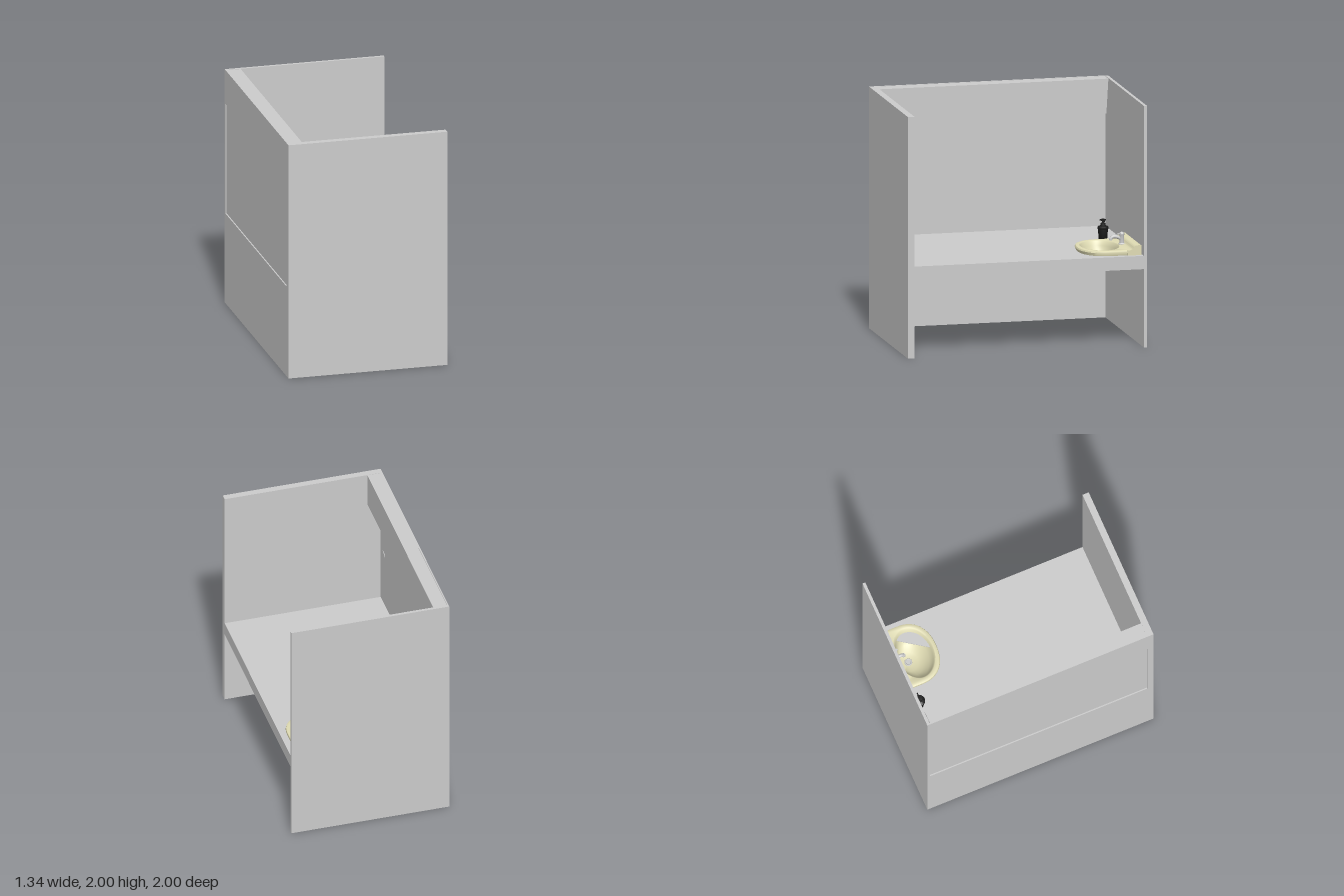
import * as THREE from 'three';
import { toCreasedNormals } from 'three/addons/utils/BufferGeometryUtils.js';

const grey = new THREE.MeshStandardMaterial({ color: 0xcccccc });
const greyThin = new THREE.MeshStandardMaterial({ color: 0xcccccc, side: THREE.DoubleSide });
const cream = new THREE.MeshStandardMaterial({ color: 0xe0dcb4, side: THREE.DoubleSide });
const black = new THREE.MeshStandardMaterial({ color: 0x1c1c1c });

function add(parent, name, geometry, material = grey) {
  const mesh = new THREE.Mesh(geometry, material);
  mesh.name = name;
  parent.add(mesh);
  return mesh;
}

// Box given by its limits on each axis
function box(parent, name, [x0, x1], [y0, y1], [z0, z1], material) {
  const mesh = add(parent, name, new THREE.BoxGeometry(x1 - x0, y1 - y0, z1 - z0), material);
  mesh.position.set((x0 + x1) / 2, (y0 + y1) / 2, (z0 + z1) / 2);
  return mesh;
}

const polygon = pts => new THREE.Shape(pts.map(p => new THREE.Vector2(...p)));
const extrude = (shape, depth) => new THREE.ExtrudeGeometry(shape, { depth, bevelEnabled: false });
const lathe = (pts, n = 32) =>
  toCreasedNormals(new THREE.LatheGeometry(pts.map(p => new THREE.Vector2(...p)), n), 0.6);

// Closed rings joined in order. Ring: [y, cz, rx, rzBack, rzFront, backPower, frontPower]
function loft(cx, rings, n = 64) {
  const pos = [], index = [];
  const signedPow = (v, e) => Math.sign(v) * Math.abs(v) ** e;
  rings.forEach(([y, cz, rx, rzBack, rzFront, pb = 2, pf = 2], r) => {
    for (let i = 0; i < n; i++) {
      const a = (i / n) * Math.PI * 2, c = Math.cos(a), s = Math.sin(a);
      const e = 2 / (s < 0 ? pb : pf);
      pos.push(cx + rx * signedPow(c, e), y, cz + (s < 0 ? rzBack : rzFront) * signedPow(s, e));
      if (r === 0) continue;
      const j = (i + 1) % n, a0 = (r - 1) * n, b0 = r * n;
      index.push(a0 + i, b0 + i, a0 + j, a0 + j, b0 + i, b0 + j);
    }
  });
  const g = new THREE.BufferGeometry();
  g.setAttribute('position', new THREE.Float32BufferAttribute(pos, 3));
  g.setIndex(index);
  g.computeVertexNormals();
  return toCreasedNormals(g, 0.7);
}

function buildBooth(root) {
  const booth = new THREE.Group();
  booth.name = 'booth';
  root.add(booth);
  const inner = [-0.975, 0.945];
  box(booth, 'frontPanel', [-0.668, 0.668], [0, 2], [0.945, 1]);
  box(booth, 'backPanel', [-0.668, 0.668], [0, 2], [-1, -0.975]);
  box(booth, 'lowerSideWall', [-0.668, -0.655], [0, 0.77], inner);
  box(booth, 'upperSideWall', [-0.668, -0.655], [1.71, 2], inner);
  box(booth, 'windowPane', [-0.658, -0.652], [0.76, 1.72], inner);

  // Header with one slanted end, drawn in the z-y plane
  const header = extrude(polygon([[-0.945, 1.71], [0.955, 1.71], [0.972, 1.998], [-0.945, 1.998]]), 0.115);
  header.rotateY(Math.PI / 2);
  add(booth, 'header', header).position.x = -0.655;

  const knob = add(booth, 'windowKnob', new THREE.CylinderGeometry(0.035, 0.035, 0.006, 32));
  knob.rotation.z = Math.PI / 2;
  knob.position.set(-0.651, 1.24, 0.86);
}

function buildCounter(root) {
  const counter = new THREE.Group();
  counter.name = 'counter';
  root.add(counter);
  // Top with a cut-out for the basin, closed off by a straight chord
  const top = polygon([[-0.655, -0.945], [0.668, -0.945], [0.668, 0.972], [-0.655, 0.972]]);
  const hole = [];
  for (let i = 0; i <= 32; i++) {
    const a = THREE.MathUtils.degToRad(90 + (235 * i) / 32);
    hole.push(new THREE.Vector2(0.35 + 0.215 * Math.cos(a), 0.68 - 0.16 * Math.sin(a)));
  }
  top.holes.push(new THREE.Path(hole));
  const slab = extrude(top, 0.008);
  slab.rotateX(-Math.PI / 2);
  add(counter, 'counterTop', slab, greyThin).position.y = 0.752;

  // Skirt around the hollow underside
  const y = [0.65, 0.753], z = [-0.972, 0.945];
  box(counter, 'openSideSkirt', [0.656, 0.668], y, z);
  box(counter, 'wallSideSkirt', [-0.655, -0.643], y, z);
  box(counter, 'backSkirt', [-0.643, 0.656], y, [-0.972, -0.96]);
  box(counter, 'frontSkirt', [-0.643, 0.656], y, [0.933, 0.945]);
}

function buildSink(root) {
  const sink = new THREE.Group();
  sink.name = 'sink';
  root.add(sink);
  // Outer rim, lip and bowl in one skin
  add(sink, 'basin', loft(0.352, [
    [0.76, -0.72, 0.262, 0.235, 0.225, 12, 2.3],
    [0.785, -0.72, 0.27, 0.24, 0.235, 12, 2.3],
    [0.797, -0.72, 0.266, 0.237, 0.23, 12, 2.3],
    [0.802, -0.72, 0.255, 0.225, 0.218, 10, 2.3],
    [0.802, -0.685, 0.228, 0.15, 0.168],
    [0.795, -0.685, 0.218, 0.144, 0.16],
    [0.76, -0.685, 0.205, 0.135, 0.152],
    [0.71, -0.695, 0.18, 0.12, 0.128],
    [0.665, -0.71, 0.135, 0.1, 0.1],
    [0.64, -0.725, 0.085, 0.075, 0.075],
    [0.632, -0.73, 0.03, 0.03, 0.03],
    [0.632, -0.73, 0.001, 0.001, 0.001],
  ]), cream);

  // Raised ledge behind the bowl, drawn in the z-y plane
  const profile = new THREE.Shape();
  profile.moveTo(0.965, 0.76);
  profile.lineTo(0.965, 0.835);
  profile.quadraticCurveTo(0.963, 0.842, 0.955, 0.842);
  profile.lineTo(0.925, 0.842);
  profile.quadraticCurveTo(0.905, 0.84, 0.895, 0.82);
  profile.quadraticCurveTo(0.885, 0.802, 0.85, 0.801);
  profile.lineTo(0.85, 0.76);
  const ledge = extrude(profile, 0.55);
  ledge.rotateY(Math.PI / 2);
  add(sink, 'backLedge', toCreasedNormals(ledge, 0.6), cream).position.x = 0.078;

  // Drain ring and plug
  const ring = add(sink, 'drainRing', new THREE.TorusGeometry(0.026, 0.006, 8, 32));
  ring.rotation.x = Math.PI / 2;
  ring.position.set(0.352, 0.637, -0.73);
  add(sink, 'drainPlug', new THREE.CylinderGeometry(0.02, 0.02, 0.008, 24)).position.set(0.352, 0.638, -0.73);

  buildFaucet(sink);
}

function buildFaucet(sink) {
  const faucet = new THREE.Group();
  faucet.name = 'faucet';
  faucet.position.set(0.352, 0.8, -0.865);
  sink.add(faucet);
  add(faucet, 'faucetBody', lathe([
    [0, 0], [0.026, 0], [0.026, 0.008], [0.02, 0.014], [0.019, 0.075], [0.021, 0.08],
    [0.021, 0.092], [0.014, 0.102], [0, 0.104],
  ]));
  const path = new THREE.CatmullRomCurve3([
    [0, 0.045, 0], [0, 0.064, 0.04], [0, 0.066, 0.075], [0, 0.05, 0.092],
  ].map(p => new THREE.Vector3(...p)));
  add(faucet, 'spout', new THREE.TubeGeometry(path, 16, 0.014, 16), greyThin);
  const tip = add(faucet, 'spoutTip', new THREE.CylinderGeometry(0.016, 0.016, 0.014, 20));
  tip.position.set(0, 0.048, 0.092);
  // Lever turned to one side
  const lever = new THREE.BoxGeometry(0.014, 0.007, 0.08);
  lever.translate(0, 0, 0.04);
  const handle = add(faucet, 'lever', lever);
  handle.position.y = 0.094;
  handle.rotation.y = 0.75;
}

function buildDispenser(root) {
  const dispenser = new THREE.Group();
  dispenser.name = 'soapDispenser';
  dispenser.position.set(-0.065, 0.76, -0.81);
  root.add(dispenser);
  add(dispenser, 'bottle', lathe([
    [0, 0], [0.031, 0], [0.034, 0.004], [0.041, 0.09], [0.046, 0.094], [0.046, 0.108],
    [0.036, 0.116], [0.022, 0.122], [0.02, 0.14], [0.009, 0.144], [0.008, 0.16],
    [0.026, 0.163], [0.026, 0.171], [0, 0.173],
  ]), black);
  const nozzle = add(dispenser, 'nozzle', new THREE.CylinderGeometry(0.004, 0.007, 0.05, 12), black);
  nozzle.rotation.z = -Math.PI / 2 - 0.1;
  nozzle.position.set(0.025, 0.164, 0);
}

export function createModel() {
  const root = new THREE.Group();
  root.name = 'washBooth';
  buildBooth(root);
  buildCounter(root);
  buildSink(root);
  buildDispenser(root);
  return root;
}
